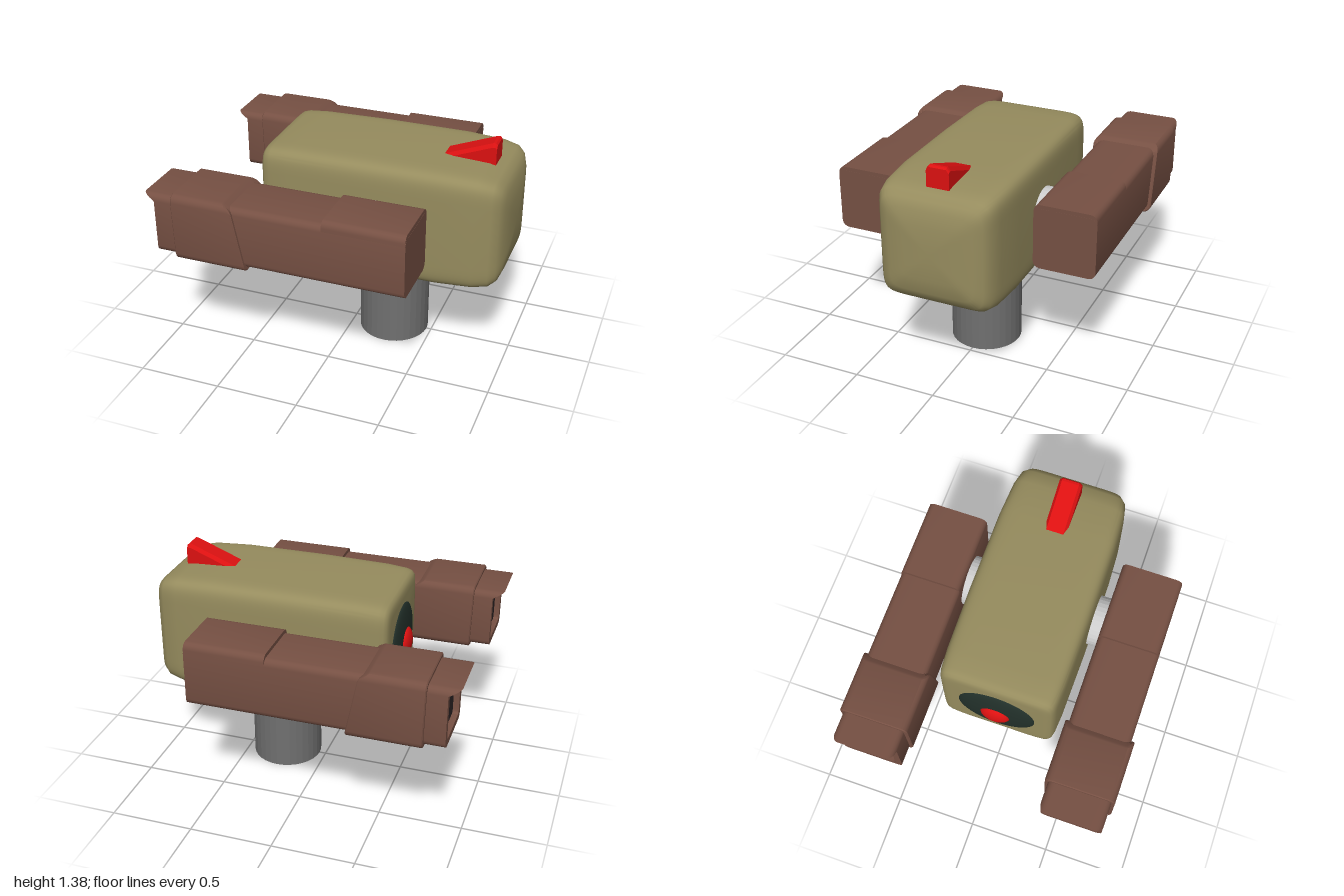
import * as THREE from 'three';
import { toCreasedNormals } from 'three/addons/utils/BufferGeometryUtils.js';

const mat = (color) => new THREE.MeshStandardMaterial({ color });

// Rounded rectangle section as [y, z] points
function rect(cy, h, w, r) {
  const pts = [];
  for (let q = 0; q < 4; q++) {
    const sz = q === 0 || q === 3 ? 1 : -1, sy = q < 2 ? 1 : -1;
    for (let k = 0; k <= 4; k++) {
      const t = (q + k / 4) * Math.PI / 2;
      pts.push([cy + sy * (h - r) + r * Math.sin(t), sz * (w - r) + r * Math.cos(t)]);
    }
  }
  return pts;
}

// Softly bulging square section
function squircle(cy, h, w, n = 9, count = 72) {
  const p = (v) => Math.sign(v) * Math.pow(Math.abs(v), 2 / n);
  return Array.from({ length: count }, (_, i) => {
    const t = (i / count) * Math.PI * 2;
    return [cy + h * p(Math.sin(t)), w * p(Math.cos(t))];
  });
}

// Skin through sections [x, points]; x is a number or a rule of y
function loft(sections, crease, caps = true) {
  const pos = [], idx = [], n = sections[0][1].length;
  const at = (x, y) => (typeof x === 'function' ? x(y) : x);
  for (const [x, pts] of sections) for (const [y, z] of pts) pos.push(at(x, y), y, z);
  for (let i = 0; i < sections.length - 1; i++) {
    for (let j = 0; j < n; j++) {
      const a = i * n + j, b = i * n + (j + 1) % n, c = a + n, d = b + n;
      idx.push(a, c, b, b, c, d);
    }
  }
  if (caps) {
    [0, sections.length - 1].forEach((s, end) => {
      const [x, pts] = sections[s];
      const cy = pts.reduce((sum, p) => sum + p[0], 0) / n;
      const centre = pos.length / 3;
      pos.push(at(x, cy), cy, 0);
      for (let j = 0; j < n; j++) {
        const a = s * n + j, b = s * n + (j + 1) % n;
        if (end) idx.push(centre, b, a); else idx.push(centre, a, b);
      }
    });
  }
  const g = new THREE.BufferGeometry();
  g.setAttribute('position', new THREE.Float32BufferAttribute(pos, 3));
  g.setIndex(idx);
  return toCreasedNormals(g, crease);
}

export function createModel() {
  const model = new THREE.Group();
  const olive = mat(0x968c5e), brown = mat(0x765043), red = mat(0xdd1111);
  const dark = mat(0x2c2526), green = mat(0x22302a), steel = mat(0x707070), light = mat(0xcccccc);
  steel.flatShading = light.flatShading = true;
  const add = (name, geo, material, parent = model) => {
    const m = new THREE.Mesh(geo, material);
    m.name = name;
    parent.add(m);
    return m;
  };
  const Y = 0.906;

  // Head block: [x, inset]
  const body = [[-0.478, 0.09], [-0.476, 0.06], [-0.468, 0.035], [-0.452, 0.022], [-0.42, 0.014],
    [-0.3, 0.006], [0.1, 0], [0.6, 0.001], [0.82, 0.012], [0.91, 0.03], [0.95, 0.06],
    [0.972, 0.11], [0.987, 0.2], [0.992, 0.3]];
  add('body', loft(body.map(([x, s]) => [x, squircle(Y, 0.361 - s, 0.364 - s)]), 0.8), olive);

  // Lens and pupil on the -x face
  const lens = add('lens', new THREE.SphereGeometry(0.235, 40, 24), green);
  lens.scale.x = 0.035 / 0.235;
  lens.position.set(-0.475, Y, 0);
  const pupil = add('pupil', new THREE.SphereGeometry(0.09, 28, 18), red);
  pupil.scale.x = 0.04 / 0.09;
  pupil.position.set(-0.5, Y, 0);

  // Sloping fin on top
  const finSection = (top) => [[1.2, 0.068], [top - 0.022, 0.068], [top, 0.052],
    [top, -0.052], [top - 0.022, -0.068], [1.2, -0.068]];
  add('topFin', loft([[0.5, finSection(1.244)], [0.835, finSection(1.375)],
    [0.85, finSection(1.375)], [0.86, finSection(1.365)]], 0.2), red);

  // Post and cross axle
  add('post', new THREE.CylinderGeometry(0.215, 0.215, 0.6, 32), steel).position.set(0.255, 0.3, 0);
  const axle = add('axle', new THREE.CylinderGeometry(0.153, 0.153, 0.92, 32), light);
  axle.rotation.x = Math.PI / 2;
  axle.position.set(0.252, Y, 0);

  // Rules for the cut ends of the barrel and its collar
  const lip = (y) => -0.932 - Math.max(0, y - 1.05) / 0.04 * 0.067;
  const collarFront = (y) => -0.81 - (y - 0.7) * 0.024;
  const collarBack = (y) => -0.37 - (y - 0.7) * 0.2 - Math.max(0, y - 1.075) * 1.3;
  const outer = rect(0.905, 0.185, 0.185, 0.04), inner = rect(0.905, 0.145, 0.145, 0.02);
  const under = rect(Y, 0.175, 0.175, 0.035);
  const collar = rect(Y, 0.206, 0.205, 0.045);
  const collarEdge = rect(Y, 0.2, 0.199, 0.042);

  for (const [side, s] of [['left', -1], ['right', 1]]) {
    const arm = new THREE.Group();
    arm.name = side === 'left' ? 'rearBarrel' : 'frontBarrel';
    arm.position.z = s * 0.615;
    model.add(arm);
    add('barrel', loft([[-0.89, inner], [lip, inner], [lip, outer], [-0.8, outer], [0.57, outer]], 0.5), brown, arm);
    add('muzzleOpening', new THREE.BoxGeometry(0.01, 0.289, 0.289), dark, arm).position.set(-0.893, 0.905, 0);
    add('collar', loft([[collarFront, under], [collarFront, collarEdge],
      [(y) => collarFront(y) + 0.006, collar], [(y) => collarBack(y) - 0.006, collar],
      [collarBack, collarEdge], [collarBack, under]], 0.5, false), brown, arm);
    const plate = rect(0.96, 0.153, 0.1845, 0.04);
    add('topPlate', loft([[0.09, plate], [0.569, plate]], 0.5), brown, arm);
  }
  return model;
}
